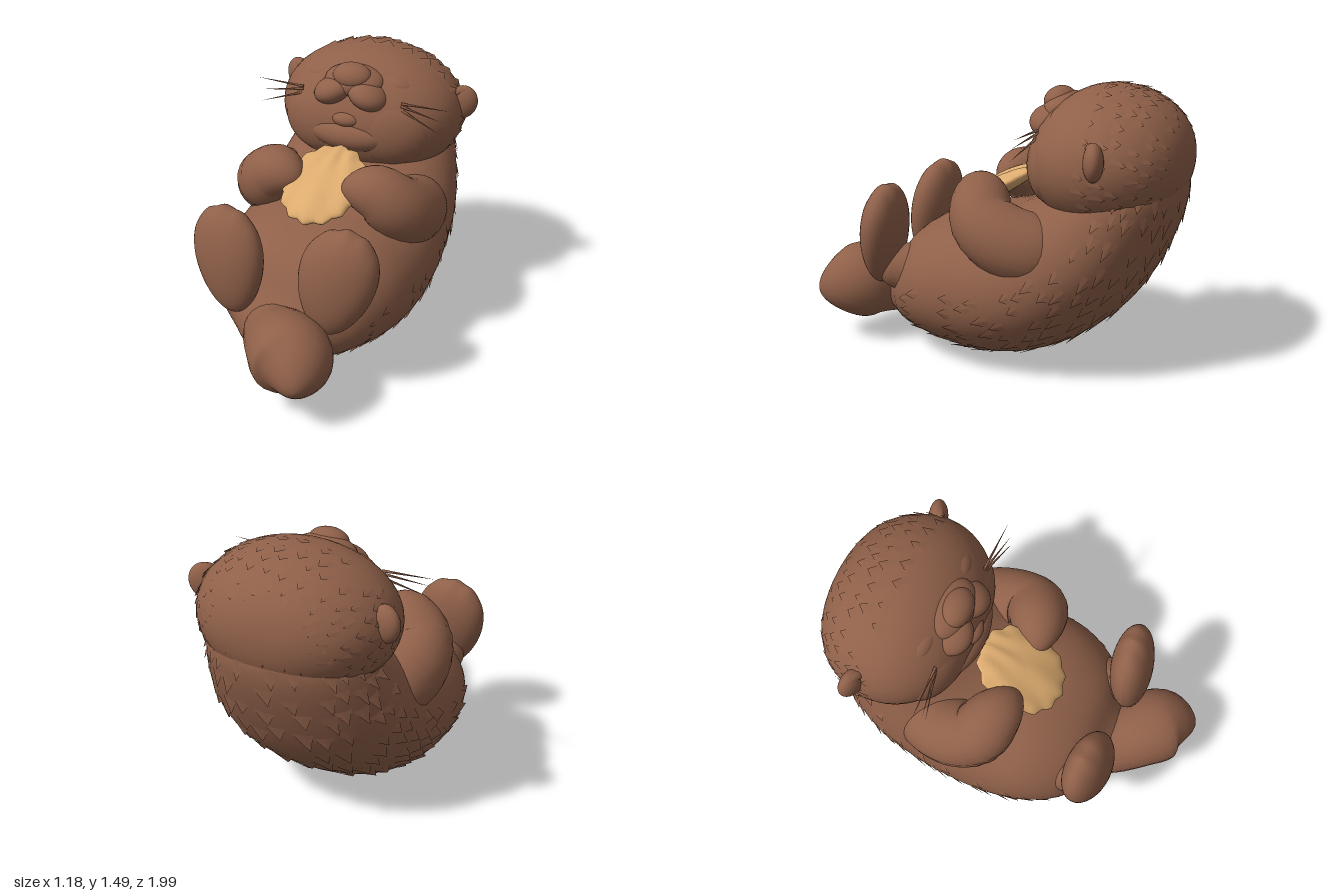
import * as THREE from 'three';

const V = (x, y, z) => new THREE.Vector3(x, y, z);
const fur = new THREE.MeshStandardMaterial({ color: 0x8f6049, side: THREE.DoubleSide });
fur.name = 'brown fur';
const shellMat = new THREE.MeshStandardMaterial({ color: 0xdbaa6e, side: THREE.DoubleSide });
shellMat.name = 'tan shell';

let seed = 7;
const rand = () => (seed = (seed * 16807) % 2147483647) / 2147483647;

// rounds off both ends of a lofted form
const cap = (t, len) => {
  const e = Math.min(t, 1 - t) / len;
  return e < 1 ? Math.sqrt(Math.max(0, 1 - (1 - e) ** 2)) : 1;
};

// signed power, for squarer outlines
const pow = (v, e) => Math.sign(v) * Math.abs(v) ** e;

// skin over surf(t, angle), closed around the angle
function loft(surf, rows = 32, cols = 32) {
  const pos = [], idx = [];
  for (let i = 0; i <= rows; i++) {
    const t = (1 - Math.cos((Math.PI * i) / rows)) / 2;
    for (let j = 0; j < cols; j++) pos.push(...surf(t, (j / cols) * Math.PI * 2).toArray());
  }
  for (let i = 0; i < rows; i++) for (let j = 0; j < cols; j++) {
    const k = (j + 1) % cols, a = i * cols + j, b = i * cols + k;
    idx.push(a, a + cols, b, b, a + cols, b + cols);
  }
  const g = new THREE.BufferGeometry();
  g.setAttribute('position', new THREE.Float32BufferAttribute(pos, 3));
  g.setIndex(idx);
  g.computeVertexNormals();
  return g;
}

// rounded limb through [x, y, z, radius] points
function limb(points, ends = 0.2) {
  const path = new THREE.CatmullRomCurve3(points.map(p => V(p[0], p[1], p[2])));
  const size = new THREE.CatmullRomCurve3(points.map(p => V(p[3], 0, 0)), false, 'catmullrom');
  return loft((t, a) => {
    const T = path.getTangent(t);
    const u = V(0, 1, 0).cross(T).normalize();
    const v = u.clone().cross(T);
    const r = size.getPoint(t).x * cap(t, ends);
    return path.getPoint(t).addScaledVector(u, r * Math.cos(a)).addScaledVector(v, r * Math.sin(a));
  }, 28, 24);
}

// torso sections: back z, back y, belly z, belly y, half width
const sections = [
  [0.72, 0.17, 0.68, 0.4, 0.16], [0.59, 0.12, 0.57, 0.48, 0.25], [0.44, 0.08, 0.45, 0.64, 0.42],
  [0.24, 0.04, 0.26, 0.745, 0.525], [0, 0.015, 0.06, 0.785, 0.56], [-0.26, 0.06, -0.08, 0.82, 0.565],
  [-0.5, 0.18, -0.18, 0.87, 0.56], [-0.74, 0.4, -0.27, 0.93, 0.54], [-0.905, 0.7, -0.32, 0.97, 0.49],
  [-0.975, 1.0, -0.4, 1.03, 0.42], [-0.86, 1.24, -0.45, 1.15, 0.3],
];
const backLine = new THREE.CatmullRomCurve3(sections.map(s => V(0, s[1], s[0])), false, 'catmullrom');
const bellyLine = new THREE.CatmullRomCurve3(sections.map(s => V(0, s[3], s[2])), false, 'catmullrom');
const widthLine = new THREE.CatmullRomCurve3(sections.map(s => V(s[4], 0, 0)), false, 'catmullrom');
function bodySurface(t, a) {
  const b = backLine.getPoint(t), f = bellyLine.getPoint(t), k = cap(t, 0.1);
  const c = b.clone().add(f).multiplyScalar(0.5), up = Math.sin(a);
  const x = pow(Math.cos(a), up > 0 ? 0.78 : 0.95);
  return c.addScaledVector(f.sub(b), 0.5 * up * k).add(V(widthLine.getPoint(t).x * x * k, 0, 0));
}

// head runs from its back (t = 0) to the face (t = 1), broad across the cheeks
function headSurface(t, a) {
  const s = Math.max(0, Math.sin(Math.PI * t)), c = Math.cos(Math.PI * t);
  const ey = c < 0 && Math.sin(a) < 0 ? 1.1 : 0.9;
  return V(0.52 * s ** 0.82 * Math.cos(a), 1.12 - 0.365 * s ** ey * Math.sin(a), -0.58 - (c < 0 ? 0.385 : 0.41) * c);
}

// broad fur tufts lying along a surface, tips toward lower t
function tufts(surf, { t0, t1, rows, a0, a1, count, length, lift }) {
  const pos = [];
  for (let i = 0; i < rows; i++) for (let j = 0; j < count; j++) {
    if (rand() < 0.15) continue;
    const t = t0 + ((t1 - t0) * (i + 0.5 * rand())) / (rows - 1);
    const d = (a1 - a0) / count;
    const a = a0 + d * (j + (i % 2) * 0.5 + 0.35 * rand());
    const tipT = Math.max(0.01, t - length * (0.75 + 0.5 * rand()));
    const centre = surf(t, a).add(surf(t, a + Math.PI)).multiplyScalar(0.5);
    const out = surf(t, a).sub(centre).normalize();
    const L = surf(t, a - d * 0.5), R = surf(t, a + d * 0.5);
    const M = surf(t, a).addScaledVector(out, 0.002);
    const tip = surf(tipT, a + d * 0.3 * (rand() - 0.5)).addScaledVector(out, lift * (0.6 + 0.6 * rand()));
    for (const p of [L, M, tip, M, R, tip]) pos.push(...p.toArray());
  }
  const g = new THREE.BufferGeometry();
  g.setAttribute('position', new THREE.Float32BufferAttribute(pos, 3));
  g.computeVertexNormals();
  return g;
}

export function createModel() {
  const model = new THREE.Group();
  model.name = 'otter';
  const add = (name, geometry, material = fur) => {
    const m = new THREE.Mesh(geometry, material);
    m.name = name;
    model.add(m);
    return m;
  };
  const ball = (name, c, r, rot = [0, 0, 0]) => {
    const m = add(name, new THREE.SphereGeometry(1, 28, 20));
    m.position.set(...c);
    m.scale.set(...r);
    m.rotation.set(...rot);
    return m;
  };

  // torso, head and their coat
  add('body', loft(bodySurface, 48, 64));
  add('head', loft(headSurface, 40, 48));
  add('bodyFur', tufts(bodySurface, {
    t0: 0.24, t1: 0.93, rows: 17, a0: -Math.PI - 0.15, a1: 0.15, count: 15, length: 0.034, lift: 0.016 }));
  add('headFur', tufts(headSurface, {
    t0: 0.2, t1: 0.5, rows: 6, a0: -Math.PI - 0.5, a1: 0.5, count: 18, length: 0.055, lift: 0.012 }));

  // face
  ball('nose', [0, 1.385, -0.3], [0.11, 0.07, 0.08], [0.3, 0, 0]);
  ball('noseBridge', [0, 1.35, -0.33], [0.17, 0.08, 0.11], [0.3, 0, 0]);
  ball('lowerLip', [0, 1.165, -0.235], [0.085, 0.045, 0.06]);
  ball('chin', [0, 1.07, -0.28], [0.24, 0.1, 0.12]);

  // tail bending toward the left
  add('tail', limb([[-0.1, 0.29, 0.34, 0.13], [-0.05, 0.285, 0.5, 0.165], [0.03, 0.29, 0.63, 0.175],
    [0.15, 0.32, 0.75, 0.205], [0.245, 0.31, 0.84, 0.215], [0.32, 0.27, 0.99, 0.17]], 0.38));

  for (const s of [1, -1]) {
    const side = s > 0 ? 'left' : 'right';
    ball(side + 'Muzzle', [s * 0.1, 1.295, -0.29], [0.115, 0.075, 0.11], [0, 0, -s * 0.35]);
    ball(side + 'Cheek', [s * 0.2, 1.1, -0.34], [0.24, 0.2, 0.13], [0, s * 0.25, 0]);
    ball(side + 'Eyelid', [s * 0.22, 1.35, -0.38], [0.09, 0.035, 0.05], [0.5, 0, -s * 0.25]);

    // ear: round flap with a raised rim
    ball(side + 'Ear', [s * 0.5, 1.2, -0.65], [0.085, 0.095, 0.05], [0, s * 0.3, -s * 0.2]);
    const rim = add(side + 'EarRim', new THREE.TorusGeometry(0.063, 0.025, 10, 24));
    rim.position.set(s * 0.5, 1.205, -0.64);
    rim.rotation.set(0, s * 0.5, 0);

    // whiskers
    for (const [y0, x1, y1, z1] of [[1.28, 0.57, 1.29, -0.28], [1.265, 0.53, 1.235, -0.25], [1.245, 0.53, 1.17, -0.24]]) {
      const from = V(s * 0.29, y0, -0.29), to = V(s * x1, y1, z1);
      const dir = to.clone().sub(from);
      const w = add(side + 'Whisker', new THREE.ConeGeometry(0.008, dir.length(), 5));
      w.position.copy(from).addScaledVector(dir, 0.5);
      w.quaternion.setFromUnitVectors(V(0, 1, 0), dir.normalize());
    }

    // arm rising out of the flank, folded over the chest to a rounded paw
    add(side + 'Arm', limb([[s * 0.3, 0.62, -0.48, 0.14], [s * 0.37, 0.68, -0.33, 0.18],
      [s * 0.405, 0.73, -0.17, 0.185], [s * 0.385, 0.81, -0.04, 0.17], [s * 0.29, 0.895, 0.015, 0.15],
      [s * 0.12, 0.92, 0.08, 0.12]], 0.22));

    // leg and upright foot, wider toward the toes
    const fx = s > 0 ? 0.33 : -0.28, fy = s > 0 ? 0.655 : 0.635;
    add(side + 'Leg', limb([[s * 0.27, 0.4, 0.2, 0.14], [s * 0.27, 0.45, 0.38, 0.14],
      [fx, 0.5, 0.6, 0.11]]));
    const foot = new THREE.SphereGeometry(1, 36, 28), p = foot.attributes.position;
    for (let i = 0; i < p.count; i++) {
      const x = p.getX(i), y = p.getY(i), z = p.getZ(i);
      const toes = y > 0.5 ? 0.01 * Math.cos(x * 14) * (y - 0.5) : 0;
      p.setXYZ(i, x * (0.2 + 0.035 * y) + s * 0.02 * y, y * 0.285 + toes, z * (0.112 + 0.012 * y));
    }
    foot.computeVertexNormals();
    const f = add(side + 'Foot', foot);
    f.position.set(fx, fy, 0.56);
    f.rotation.set(-0.13, s * 0.1, -s * 0.08);
  }

  // ridged shell with a ragged edge, held on the chest
  const shell = new THREE.SphereGeometry(1, 56, 20), q = shell.attributes.position;
  for (let i = 0; i < q.count; i++) {
    const x = q.getX(i), y = q.getY(i), z = q.getZ(i);
    const a = Math.atan2(x, z), r = Math.hypot(x, z);
    const rag = 1 + 0.04 * r ** 4 * (Math.abs(((a * 14) / (2 * Math.PI) + 14) % 1 - 0.5) * 4 - 1);
    const fan = Math.cos(Math.atan2(x, z + 1.6) * 16) * 0.012 * r;
    q.setXYZ(i, x * 0.22 * rag, y * 0.055 + (y > 0 ? fan * y : 0), z * 0.26 * rag);
  }
  shell.computeVertexNormals();
  const sh = add('shell', shell, shellMat);
  sh.position.set(0, 0.895, 0.045);
  sh.rotation.x = 0.5;

  return model;
}
